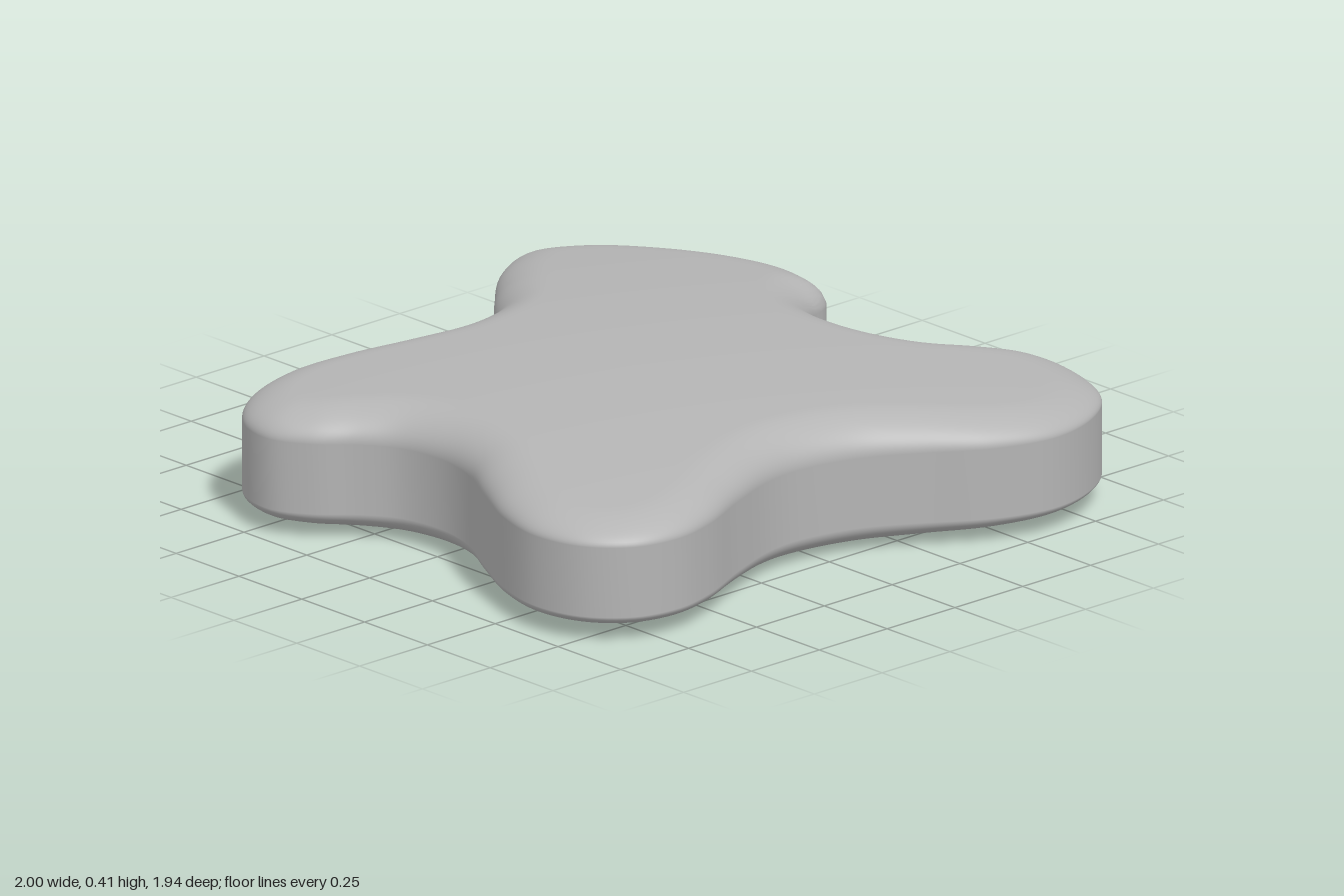
import * as THREE from 'three';

// Plan outline [x, z], counter-clockwise seen from above, starting at the notch
const OUTLINE = [
  [-0.2, -0.87], [-0.36, -0.91], [-0.55, -0.88], [-0.75, -0.79], [-0.92, -0.66], [-1, -0.49],
  [-0.94, -0.35], [-0.8, -0.2], [-0.66, -0.06], [-0.61, 0.12], [-0.64, 0.3], [-0.69, 0.48],
  [-0.715, 0.66], [-0.67, 0.83], [-0.57, 0.935], [-0.44, 0.965], [-0.33, 0.91], [-0.24, 0.82],
  [-0.14, 0.755], [0, 0.735], [0.14, 0.765], [0.28, 0.84], [0.45, 0.925], [0.62, 0.965],
  [0.77, 0.93], [0.87, 0.83], [0.9, 0.69], [0.87, 0.55], [0.79, 0.37], [0.73, 0.2],
  [0.72, 0.08], [0.76, -0.1], [0.85, -0.26], [0.95, -0.42], [1, -0.6], [0.96, -0.77],
  [0.85, -0.91], [0.66, -0.97], [0.52, -0.945], [0.41, -0.85], [0.32, -0.75], [0.2, -0.69],
  [0.05, -0.672], [-0.07, -0.7], [-0.15, -0.77], [-0.182, -0.845],
];
const SEGMENTS = 300;
const RINGS = 36;
const WALL = [0.28, 0.08]; // top and bottom of the upright rim

// Distance from a point to the nearest piece of the rim
function rimDistance(x, z, rim) {
  let best = Infinity;
  for (let i = 0; i < rim.length; i++) {
    const a = rim[i], b = rim[(i + 1) % rim.length];
    const dx = b.x - a.x, dz = b.z - a.z;
    const t = THREE.MathUtils.clamp(((x - a.x) * dx + (z - a.z) * dz) / (dx * dx + dz * dz), 0, 1);
    best = Math.min(best, Math.hypot(x - a.x - t * dx, z - a.z - t * dz));
  }
  return best;
}

// Gently domed faces that roll over into the rim
function height(x, z, d, top) {
  const r2 = x * x + z * z;
  const k = Math.min(d / (top ? 0.14 : 0.1), 1);
  const roll = Math.sqrt(1 - (1 - k) ** 2);
  const face = top ? 0.412 - 0.055 * r2 : 0.005 + 0.028 * r2;
  const wall = top ? WALL[0] : WALL[1];
  return wall + (face - wall) * roll;
}

function slabGeometry() {
  const curve = new THREE.CatmullRomCurve3(OUTLINE.map(([x, z]) => new THREE.Vector3(x, 0, z)), true);
  const rim = curve.getSpacedPoints(SEGMENTS).slice(0, SEGMENTS);
  const positions = [], index = [];

  // Top rings run outward, bottom rings run back inward
  positions.push(0, height(0, 0, 1, true), 0);
  const addRing = (t, top) => {
    const s = 1 - t ** 2.2;
    for (const p of rim) {
      const x = p.x * s, z = p.z * s;
      positions.push(x, height(x, z, t === 0 ? 0 : rimDistance(x, z, rim), top), z);
    }
  };
  for (let i = RINGS - 1; i >= 0; i--) addRing(i / RINGS, true);
  for (let i = 0; i < RINGS; i++) addRing(i / RINGS, false);
  positions.push(0, height(0, 0, 1, false), 0);

  const rings = RINGS * 2;
  const last = positions.length / 3 - 1;
  const at = (ring, i) => 1 + ring * SEGMENTS + (i % SEGMENTS);
  for (let i = 0; i < SEGMENTS; i++) {
    index.push(0, at(0, i), at(0, i + 1));
    for (let r = 0; r < rings - 1; r++) {
      const a = at(r, i), b = at(r, i + 1), c = at(r + 1, i), d = at(r + 1, i + 1);
      index.push(a, c, d, a, d, b);
    }
    index.push(last, at(rings - 1, i + 1), at(rings - 1, i));
  }

  const geometry = new THREE.BufferGeometry();
  geometry.setAttribute('position', new THREE.Float32BufferAttribute(positions, 3));
  geometry.setIndex(index);
  geometry.computeVertexNormals();
  return geometry;
}

export function createModel() {
  const group = new THREE.Group();
  group.name = 'lobedSlab';
  const grey = new THREE.MeshStandardMaterial({ color: 0xb4b4b4 });
  grey.name = 'grey';
  const slab = new THREE.Mesh(slabGeometry(), grey);
  slab.name = 'slab';
  group.add(slab);
  return group;
}
